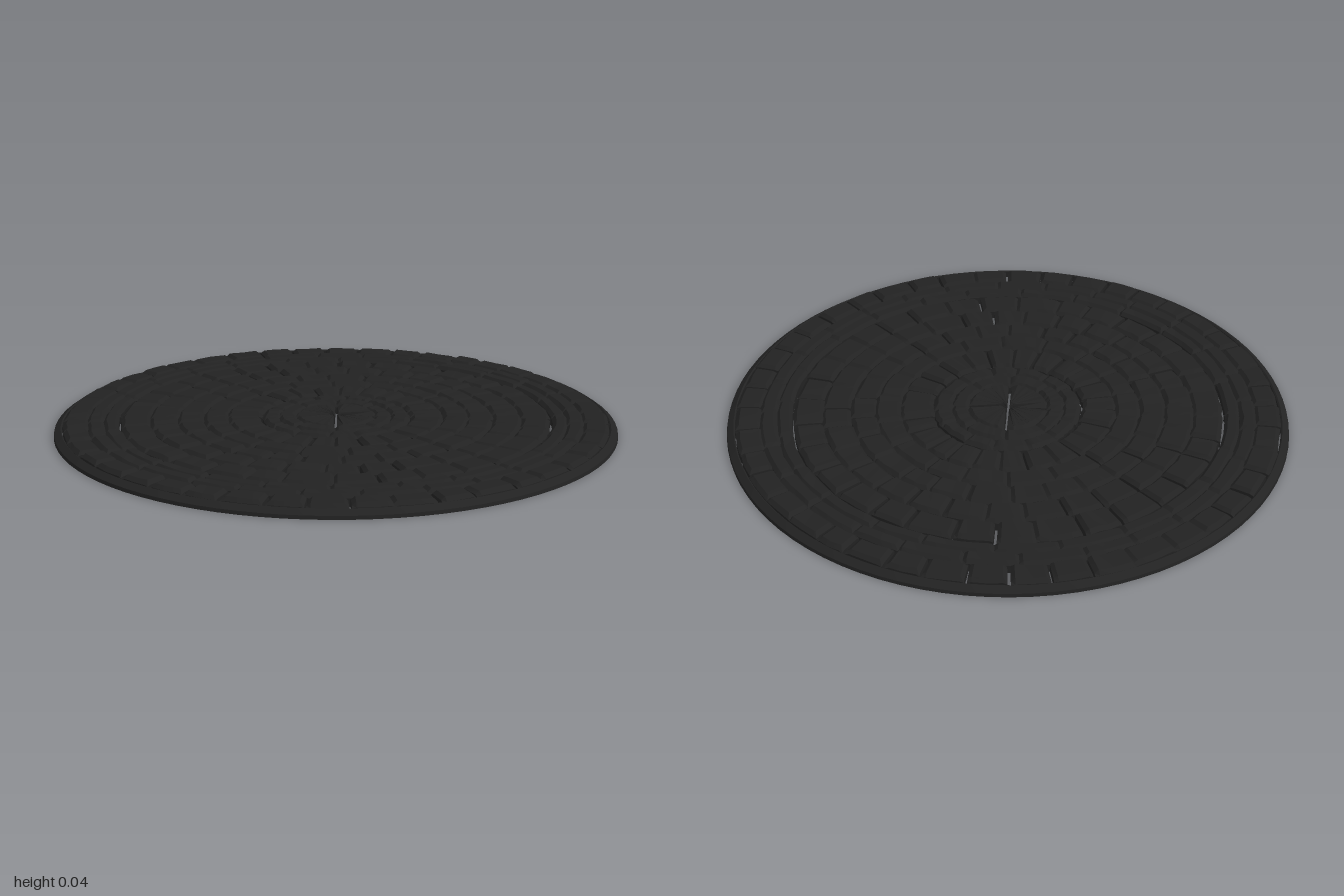
import * as THREE from 'three';
import { mergeGeometries, toCreasedNormals } from 'three/addons/utils/BufferGeometryUtils.js';

// Small seeded generator, for the irregular stones
let seed = 7;
const rnd = () => {
  seed = (seed * 16807) % 2147483647;
  return seed / 2147483647;
};
const jitter = (d) => (rnd() * 2 - 1) * d;

// One worn stone: a bevelled cross-section swept along an arc, with lowered ends.
// gap0 and gap1 are joint half-widths at the two ends; skew slants the ends.
function stone(r0, r1, a0, a1, height, gap0, gap1, skew) {
  const bevel = Math.min(0.014, (r1 - r0) * 0.22);
  const arc = (a1 - a0) * (r0 + r1) / 2;
  const steps = Math.max(2, Math.ceil((a1 - a0) / 0.09));
  const edge = Math.min(0.2, 0.014 / arc);
  const stations = [0];
  for (let i = 0; i <= steps; i++) stations.push(edge + (1 - 2 * edge) * i / steps);
  stations.push(1);
  const mid = (r0 + r1) / 2;
  const positions = [];
  const index = [];
  const wobble = stations.map(() => [jitter(0.003), jitter(0.003), jitter(0.0015)]);

  stations.forEach((t, i) => {
    const end = i === 0 || i === stations.length - 1;
    const top = end ? height * 0.72 : height + wobble[i][2];
    const shoulder = height * (end ? 0.6 : 0.68);
    const inner = r0 + wobble[i][0];
    const outer = r1 + wobble[i][1];
    const section = [
      [inner, 0], [inner, shoulder], [inner + bevel, top],
      [outer - bevel, top], [outer, shoulder], [outer, 0],
    ];
    for (const [r, y] of section) {
      const slant = skew * (r - mid) / mid;
      const start = a0 + gap0 / r + slant;
      const finish = a1 - gap1 / r + slant;
      const a = start + (finish - start) * t;
      positions.push(r * Math.cos(a), y, r * Math.sin(a));
    }
  });
  for (let i = 0; i < stations.length - 1; i++) {
    for (let j = 0; j < 6; j++) {
      const p = i * 6 + j;
      const q = i * 6 + (j + 1) % 6;
      index.push(p, p + 6, q, q, p + 6, q + 6);
    }
  }
  const last = (stations.length - 1) * 6;
  for (let j = 1; j < 5; j++) {
    index.push(0, j, j + 1, last, last + j + 1, last + j);
  }
  const geometry = new THREE.BufferGeometry();
  geometry.setAttribute('position', new THREE.Float32BufferAttribute(positions, 3));
  geometry.setIndex(index);
  return geometry;
}

// A full circle of stones; open is the share of joints that can be seen through
function course({ r0, r1, count, height = 0.04, open = 0, gap = 0.005, rough = 0.004, turn = 0 }) {
  const pitch = Math.PI * 2 / count;
  const ends = [];
  const joints = [];
  for (let i = 0; i < count; i++) {
    ends.push(turn + pitch * (i + (count > 8 ? jitter(0.1) : 0)));
    joints.push(rnd() < open ? gap * (0.6 + rnd() * 0.5) : -0.002);
  }
  const stones = [];
  for (let i = 0; i < count; i++) {
    const next = (i + 1) % count;
    const a1 = ends[next] + (next === 0 ? Math.PI * 2 : 0);
    stones.push(stone(
      r0 + jitter(rough), r1 + jitter(rough), ends[i], a1,
      height + jitter(0.002), joints[i], joints[next], count > 8 ? jitter(0.02) : 0,
    ));
  }
  return toCreasedNormals(mergeGeometries(stones), 0.5);
}

export function createModel() {
  const group = new THREE.Group();
  group.name = 'roundPaving';
  const darkStone = new THREE.MeshStandardMaterial({ color: 0x222222 });
  darkStone.name = 'darkStone';

  // Courses from the centre to the edge
  const courses = {
    centreStones: { r0: 0.01, r1: 0.145, count: 4, open: 1, gap: 0.005, rough: 0, turn: Math.PI / 4 },
    centreBand: { r0: 0.137, r1: 0.205, count: 8 },
    centreBorder: { r0: 0.198, r1: 0.262, count: 14 },
    innerBricks: { r0: 0.266, r1: 0.385, count: 24, open: 0.6, gap: 0.004 },
    innerBand: { r0: 0.382, r1: 0.472, count: 18, open: 0.1, gap: 0.004 },
    middleBricks: { r0: 0.468, r1: 0.562, count: 26, open: 0.35, gap: 0.004 },
    wideBricks: { r0: 0.558, r1: 0.662, count: 30, open: 0.55 },
    outerBricks: { r0: 0.658, r1: 0.764, count: 32, open: 0.6 },
    outerBandInner: { r0: 0.768, r1: 0.826, count: 24 },
    outerBandOuter: { r0: 0.82, r1: 0.882, count: 28 },
    edgeBricks: { r0: 0.877, r1: 0.968, count: 44, open: 0.8 },
  };
  for (const [name, options] of Object.entries(courses)) {
    const mesh = new THREE.Mesh(course(options), darkStone);
    mesh.name = name;
    group.add(mesh);
  }

  // Low sloping kerb around the edge
  const profile = [[0.97, 0], [1, 0], [0.998, 0.012], [0.975, 0.028], [0.97, 0.024], [0.97, 0]];
  const kerb = new THREE.Mesh(
    toCreasedNormals(new THREE.LatheGeometry(profile.map(([x, y]) => new THREE.Vector2(x, y)), 88), 0.5),
    darkStone,
  );
  kerb.name = 'kerb';
  group.add(kerb);
  return group;
}
